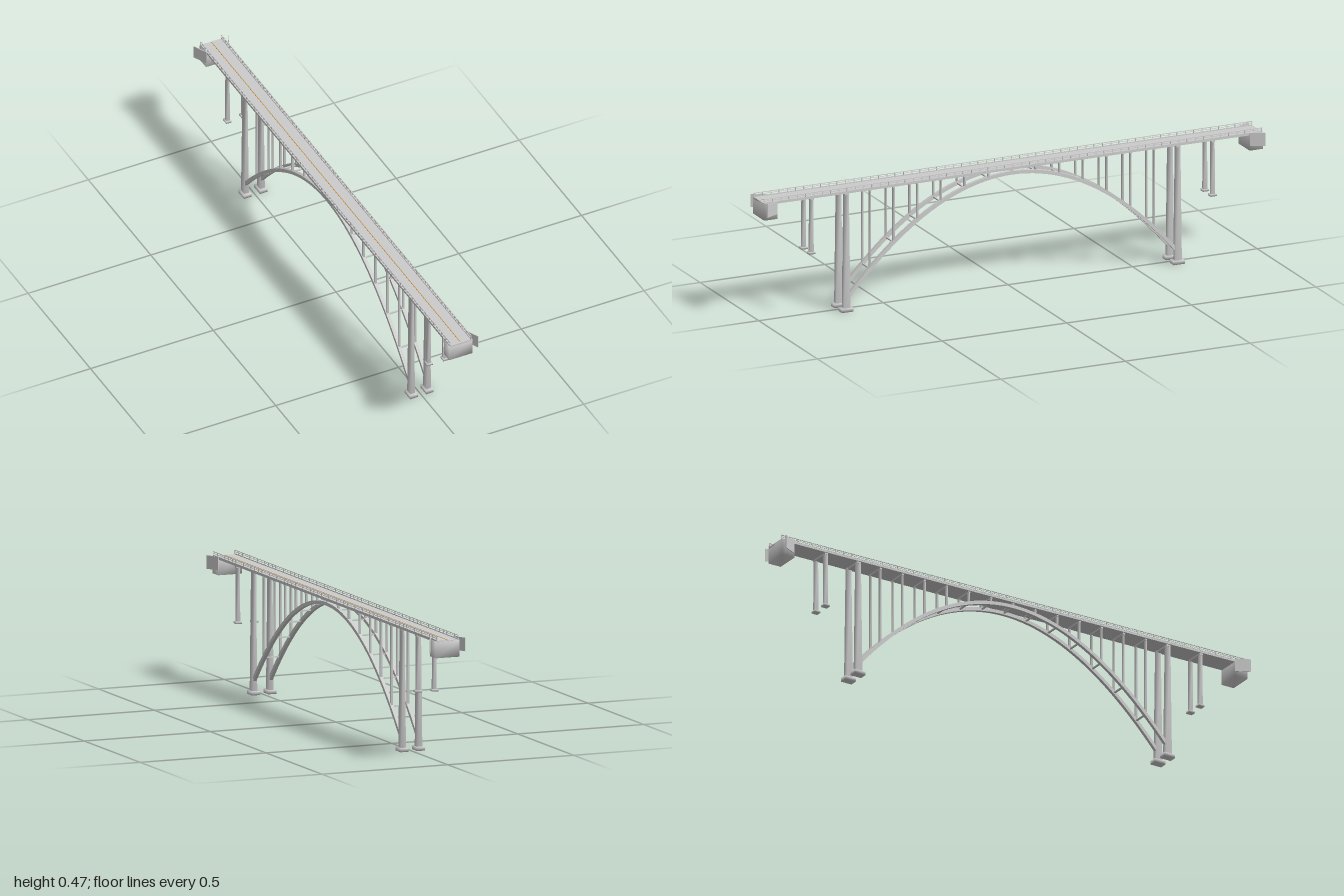
import * as THREE from 'three';
import { mergeVertices } from 'three/addons/utils/BufferGeometryUtils.js';

const grey = new THREE.MeshStandardMaterial({ color: 0xcccccc });
const yellow = new THREE.MeshStandardMaterial({ color: 0xc8963c });
const LEG = 0.0325;      // x of ribs, columns and piers
const DECK_BOTTOM = 0.452;
const DECK_TOP = 0.459;
const archY = (z) => 0.438 - 0.886 * z * z;

// Box standing on y, optionally tapered towards the top, with soft corner normals
function block(parent, name, [w, h, d], [x, y, z], { taperX = 1, taperZ = 1, soft = false, material = grey } = {}) {
  let geo = new THREE.BoxGeometry(w, h, d);
  const p = geo.attributes.position;
  for (let i = 0; i < p.count; i++) {
    if (p.getY(i) > 0) p.setXYZ(i, p.getX(i) * taperX, p.getY(i), p.getZ(i) * taperZ);
  }
  if (soft) {
    geo.deleteAttribute('normal');
    geo.deleteAttribute('uv');
    geo = mergeVertices(geo);
  }
  geo.computeVertexNormals();
  const mesh = new THREE.Mesh(geo, material);
  mesh.name = name;
  mesh.position.set(x, y + h / 2, z);
  parent.add(mesh);
  return mesh;
}

// Curved rib: the arch line offset to both sides and extruded across x
function archRib(x) {
  const width = 0.013, half = 0.0065, end = 0.668, n = 48;
  const upper = [], lower = [];
  for (let i = 0; i <= n; i++) {
    const z = -end + (2 * end * i) / n;
    const normal = new THREE.Vector2(1.772 * z, 1).normalize().multiplyScalar(half);
    const c = new THREE.Vector2(z, archY(z));
    upper.push(c.clone().add(normal));
    lower.push(c.clone().sub(normal));
  }
  const shape = new THREE.Shape([...lower, ...upper.reverse()]);
  const geo = new THREE.ExtrudeGeometry(shape, { depth: width, bevelEnabled: false });
  geo.translate(0, 0, -width / 2);
  geo.rotateY(-Math.PI / 2);
  const mesh = new THREE.Mesh(geo, grey);
  mesh.name = 'archRib';
  mesh.position.x = x;
  return mesh;
}

// Footing and tapered shaft reaching the deck
function pier(parent, x, z, base, footing, shaft, taper) {
  const g = new THREE.Group();
  g.name = 'pier';
  block(g, 'footing', footing, [x, base, z], { soft: true });
  const foot = base + footing[1] * 0.8;
  block(g, 'pierShaft', [shaft[0], DECK_BOTTOM - foot, shaft[1]], [x, foot, z],
    { taperX: taper, taperZ: taper, soft: true });
  parent.add(g);
}

function createModel() {
  const bridge = new THREE.Group();
  bridge.name = 'archBridge';

  // Roadway
  const road = new THREE.Group();
  road.name = 'roadway';
  block(road, 'deck', [0.088, DECK_TOP - DECK_BOTTOM, 2], [0, DECK_BOTTOM, 0]);
  block(road, 'centreLine', [0.0025, 0.0008, 1.99], [0, DECK_TOP, 0], { material: yellow });
  bridge.add(road);

  // Railings along both edges
  for (const s of [-1, 1]) {
    const railing = new THREE.Group();
    railing.name = 'railing';
    const x = s * 0.0425;
    block(railing, 'kerb', [0.004, 0.003, 2], [x, DECK_TOP, 0]);
    block(railing, 'topRail', [0.003, 0.002, 2], [x, 0.473, 0]);
    block(railing, 'midRail', [0.0015, 0.0015, 2], [x, 0.467, 0]);
    for (let i = 0; i <= 60; i++) {
      block(railing, 'railPost', [0.002, 0.02, 0.003], [x, 0.454, -0.998 + (1.996 * i) / 60]);
    }
    bridge.add(railing);
  }

  // Arch ribs with columns and cross struts
  const arch = new THREE.Group();
  arch.name = 'arch';
  for (const s of [-1, 1]) arch.add(archRib(s * LEG));
  for (let k = -6; k <= 6; k++) {
    const z = k * 0.095, y = archY(z);
    block(arch, 'archStrut', [2 * LEG, 0.005, 0.006], [0, y - 0.0025, z]);
    block(arch, 'floorBeam', [0.076, 0.007, 0.008], [0, DECK_BOTTOM - 0.006, z]);
    if (k === 0) continue;
    for (const s of [-1, 1]) {
      block(arch, 'spandrelColumn', [0.008, DECK_BOTTOM - y, 0.007], [s * LEG, y, z], { soft: true });
    }
  }
  bridge.add(arch);

  // Piers, abutments and wing walls at both ends
  for (const e of [-1, 1]) {
    const end = new THREE.Group();
    end.name = 'bridgeEnd';
    for (const s of [-1, 1]) {
      pier(end, s * LEG, e * 0.665, 0, [0.031, 0.014, 0.046], [0.019, 0.026], 0.66);
      pier(end, s * LEG, e * 0.805, 0.239, [0.022, 0.008, 0.025], [0.013, 0.015], 0.85);
      const wing = block(end, 'wingWall', [0.003, 0.05, 0.058], [s * 0.058, 0.413, e * 0.973]);
      wing.rotation.y = s * e * 0.45;
    }
    for (const z of [0.665, 0.805]) {
      block(end, 'capBeam', [0.08, 0.008, 0.014], [0, DECK_BOTTOM - 0.007, e * z]);
    }
    block(end, 'abutment', [0.095, 0.062, 0.053], [0, 0.395, e * 0.9735], { soft: true });
    bridge.add(end);
  }
  return bridge;
}

export { createModel };
